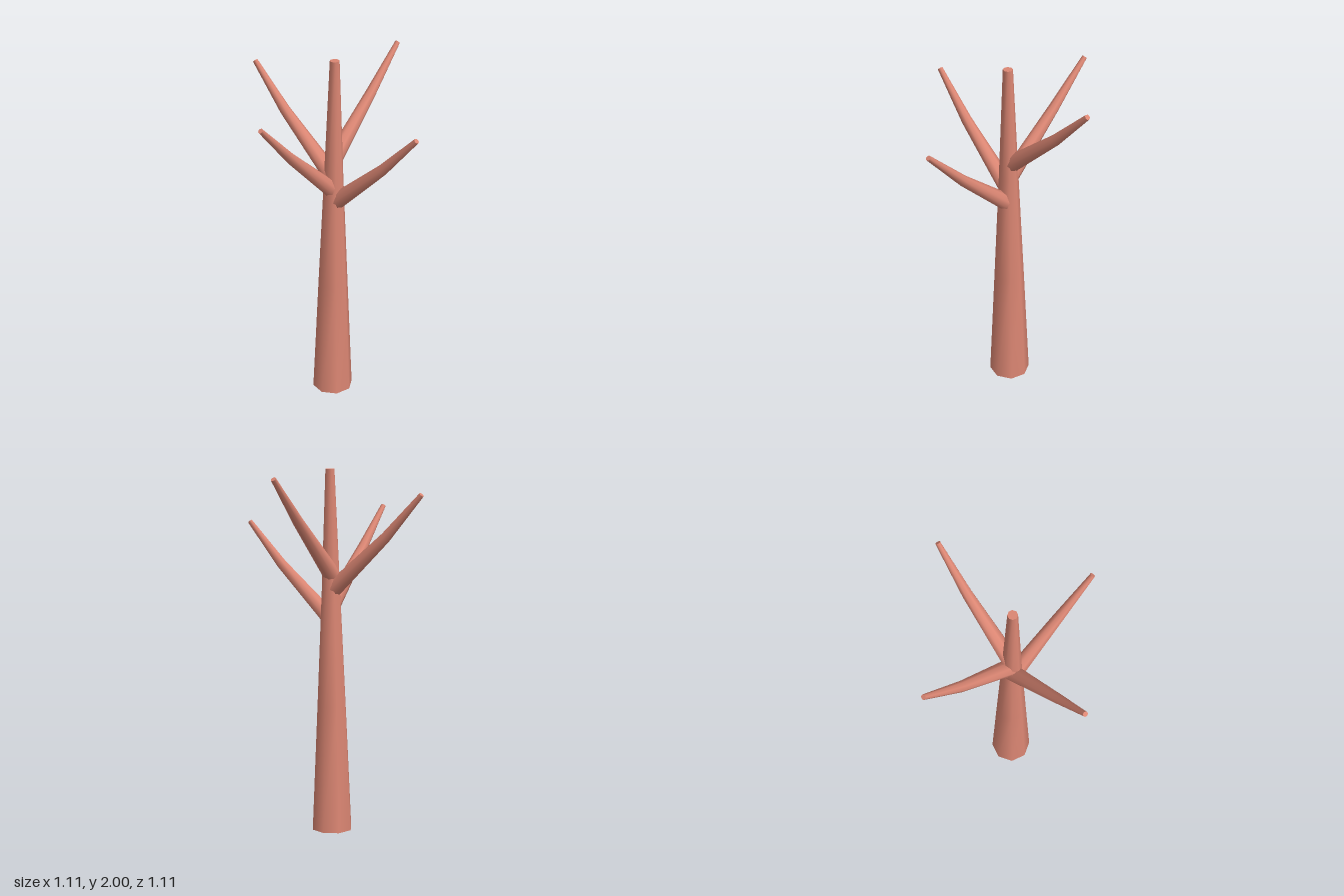
import * as THREE from 'three';

const SIDES = 8;

// Tapered limb swept through rings [x, y, z, radius], with flat end caps
function limb(name, rings, material, axes) {
  const centres = rings.map(([x, y, z]) => new THREE.Vector3(x, y, z));
  const pos = [], index = [];
  const ringPoints = rings.map((ring, i) => {
    const dir = centres[Math.min(i + 1, rings.length - 1)].clone()
      .sub(centres[Math.max(i - 1, 0)]).normalize();
    if (axes) dir.copy(axes);
    const u = new THREE.Vector3(0, 0, 1);
    if (Math.abs(dir.z) > 0.5) u.set(1, 0, 0);
    u.addScaledVector(dir, -u.dot(dir)).normalize();
    const v = dir.clone().cross(u);
    return Array.from({ length: SIDES }, (_, k) => {
      const a = k / SIDES * Math.PI * 2;
      return centres[i].clone()
        .addScaledVector(u, Math.cos(a) * ring[3])
        .addScaledVector(v, Math.sin(a) * ring[3]);
    });
  });
  // Smooth side wall
  ringPoints.forEach(r => r.forEach(p => pos.push(p.x, p.y, p.z)));
  for (let i = 0; i < rings.length - 1; i++) {
    for (let k = 0; k < SIDES; k++) {
      const n = (k + 1) % SIDES;
      const a = i * SIDES + k, b = i * SIDES + n, c = a + SIDES, d = b + SIDES;
      index.push(a, b, d, a, d, c);
    }
  }
  // End caps with their own vertices for a crisp rim
  [0, rings.length - 1].forEach((ri, end) => {
    const start = pos.length / 3;
    ringPoints[ri].forEach(p => pos.push(p.x, p.y, p.z));
    for (let k = 1; k < SIDES - 1; k++) {
      if (end) index.push(start, start + k, start + k + 1);
      else index.push(start, start + k + 1, start + k);
    }
  });
  const geometry = new THREE.BufferGeometry();
  geometry.setAttribute('position', new THREE.Float32BufferAttribute(pos, 3));
  geometry.setIndex(index);
  geometry.computeVertexNormals();
  const mesh = new THREE.Mesh(geometry, material);
  mesh.name = name;
  return mesh;
}

export function createModel() {
  const tree = new THREE.Group();
  tree.name = 'bareTree';
  const bark = new THREE.MeshStandardMaterial({ color: 0xdb8673 });
  bark.name = 'bark';

  // Trunk, leaning very slightly towards its top
  tree.add(limb('trunk', [
    [0, 0, 0, 0.115],
    [0.003, 0.7, 0, 0.083],
    [0.007, 1.35, 0, 0.053],
    [0.013, 2, 0, 0.026],
  ], bark, new THREE.Vector3(0, 1, 0)));

  // Four branches spiralling up the trunk a quarter turn at a time
  const names = ['leftBranch', 'frontBranch', 'rightBranch', 'backBranch'];
  names.forEach((name, i) => {
    const turn = i * Math.PI / 2, base = 1.185 + i * 0.083;
    const c = Math.round(Math.cos(turn)), s = Math.round(Math.sin(turn));
    const place = (x, y, z, r) => [x * c - z * s, base + y, x * s + z * c, r];
    tree.add(limb(name, [
      place(0.01, 0, 0, 0.047),
      place(0.33, 0.29, 0.036, 0.029),
      place(0.545, 0.518, 0.07, 0.014),
    ], bark));
  });
  return tree;
}
